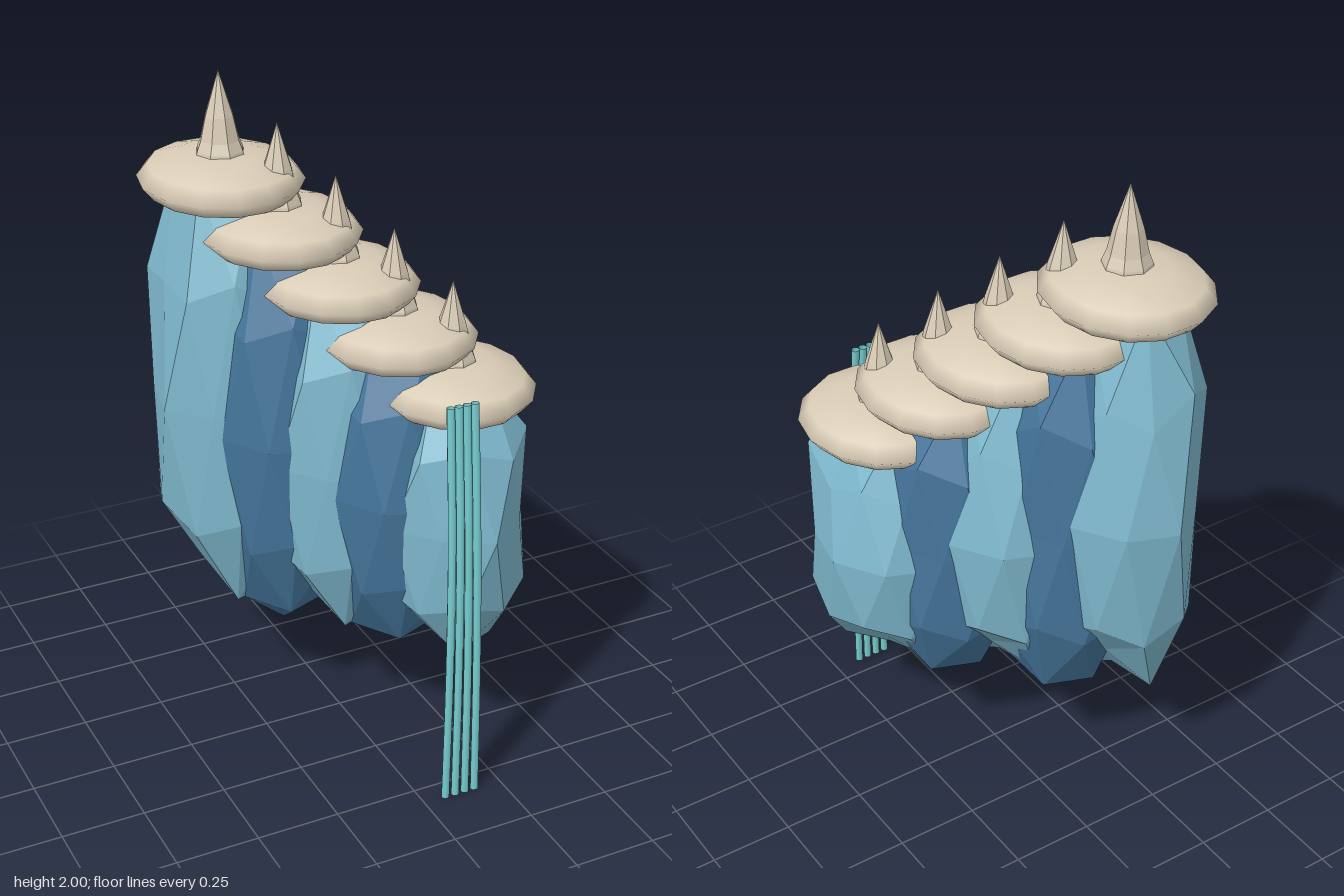
import * as THREE from 'three';

const mat = (name, color, extra = {}) => {
  const m = new THREE.MeshStandardMaterial({ color, ...extra });
  m.name = name;
  return m;
};

// Dents: direction of a pod vertex and the factor that pulls it inwards
const LIGHT_DENTS = [
  [0.95, 0, 0.31, 0.86], [0.59, 0, 0.81, 0.86], [-0.59, 0, 0.81, 0.92],
  [-0.95, 0, -0.31, 0.86], [-0.59, 0, -0.81, 0.86],
  [0.894, 0.447, 0, 0.82], [0.526, 0.85, 0, 0.84], [0, 1, 0, 0.9],
  [0.688, 0.526, -0.5, 0.9], [0.276, 0.447, -0.85, 0.92], [-0.85, 0.526, 0, 0.88],
  [-0.526, -0.85, 0, 0.83], [0.425, -0.85, -0.309, 0.78],
];
const DARK_DENTS = [
  [0.59, 0, -0.81, 0.9], [0.95, 0, -0.31, 0.9], [-0.894, -0.447, 0, 0.88],
  [0.894, 0.447, 0, 0.88], [0.526, 0.85, 0, 0.84], [0, 1, 0, 0.9],
];

// Faceted pod with a vertex at each pole and some vertices pushed in
function podGeometry(rx, ry, rz, dents) {
  const g = new THREE.IcosahedronGeometry(1, 1);
  g.rotateX(-Math.atan((1 + Math.sqrt(5)) / 2));
  g.rotateY(Math.PI / 2);
  const p = g.attributes.position;
  const v = new THREE.Vector3();
  for (let i = 0; i < p.count; i++) {
    v.fromBufferAttribute(p, i);
    const dent = dents.find(([x, y, z]) => v.x * x + v.y * y + v.z * z > 0.97);
    if (dent) v.multiplyScalar(dent[3]);
    p.setXYZ(i, v.x * rx, v.y * ry, v.z * rz);
  }
  g.computeVertexNormals();
  return g;
}

export function createModel() {
  const lightBlue = mat('light blue', 0x7fb9ce, { flatShading: true });
  const darkBlue = mat('dark blue', 0x45759b, { flatShading: true });
  const beige = mat('beige', 0xd9ccb6);
  const teal = mat('teal', 0x76cccf, { side: THREE.DoubleSide });
  const model = new THREE.Group();
  model.name = 'podCluster';

  const add = (parent, name, geometry, material, y = 0) => {
    const m = new THREE.Mesh(geometry, material);
    m.name = name;
    m.position.y = y;
    parent.add(m);
  };

  const discGeo = new THREE.SphereGeometry(1, 14, 6);
  discGeo.scale(0.236, 0.08, 0.265);

  // Eight-sided spike with a slightly flared foot
  const spikeGeo = new THREE.LatheGeometry(
    [[0.08, 0], [0.07, 0.055], [0.058, 0.085], [0.042, 0.155], [0, 0.285]]
      .map(([r, y]) => new THREE.Vector2(r, y)), 8
  ).toNonIndexed();
  spikeGeo.computeVertexNormals();

  // Five capped pods stepping down along the diagonal
  const bottomTips = [0.83, 1, 0.84, 0.97, 0.9];
  bottomTips.forEach((tip, i) => {
    const unit = new THREE.Group();
    unit.name = 'unit' + (i + 1);
    unit.position.set(-0.235 + 0.1175 * i, 0, -0.285 + 0.13 * i);
    const isDark = i % 2 === 1;
    const dents = [...(isDark ? DARK_DENTS : LIGHT_DENTS), [0, -1, 0, tip]];
    add(unit, 'pod', podGeometry(0.245, 0.78 - 0.0675 * i, 0.29, dents),
      isDark ? darkBlue : lightBlue, 1.04 - 0.0625 * i);
    add(unit, 'capDisc', discGeo, beige, 1.688 - 0.13 * i);
    add(unit, 'capSpike', spikeGeo, beige, 1.715 - 0.13 * i);
    model.add(unit);
  });

  // Four thin hanging strands
  const strands = new THREE.Group();
  strands.name = 'strands';
  for (let i = 0; i < 4; i++) {
    const topX = 0.09 + 0.025 * i, endX = 0.069 + 0.032 * i;
    const path = new THREE.CatmullRomCurve3([
      new THREE.Vector3(topX, 1.235, 0.497),
      new THREE.Vector3(topX - (topX - endX) * 0.2, 0.82, 0.533),
      new THREE.Vector3(topX - (topX - endX) * 0.6, 0.41, 0.554),
      new THREE.Vector3(endX, 0, 0.563),
    ]);
    add(strands, 'strand', new THREE.TubeGeometry(path, 12, 0.012, 8), teal);
  }
  model.add(strands);
  return model;
}
